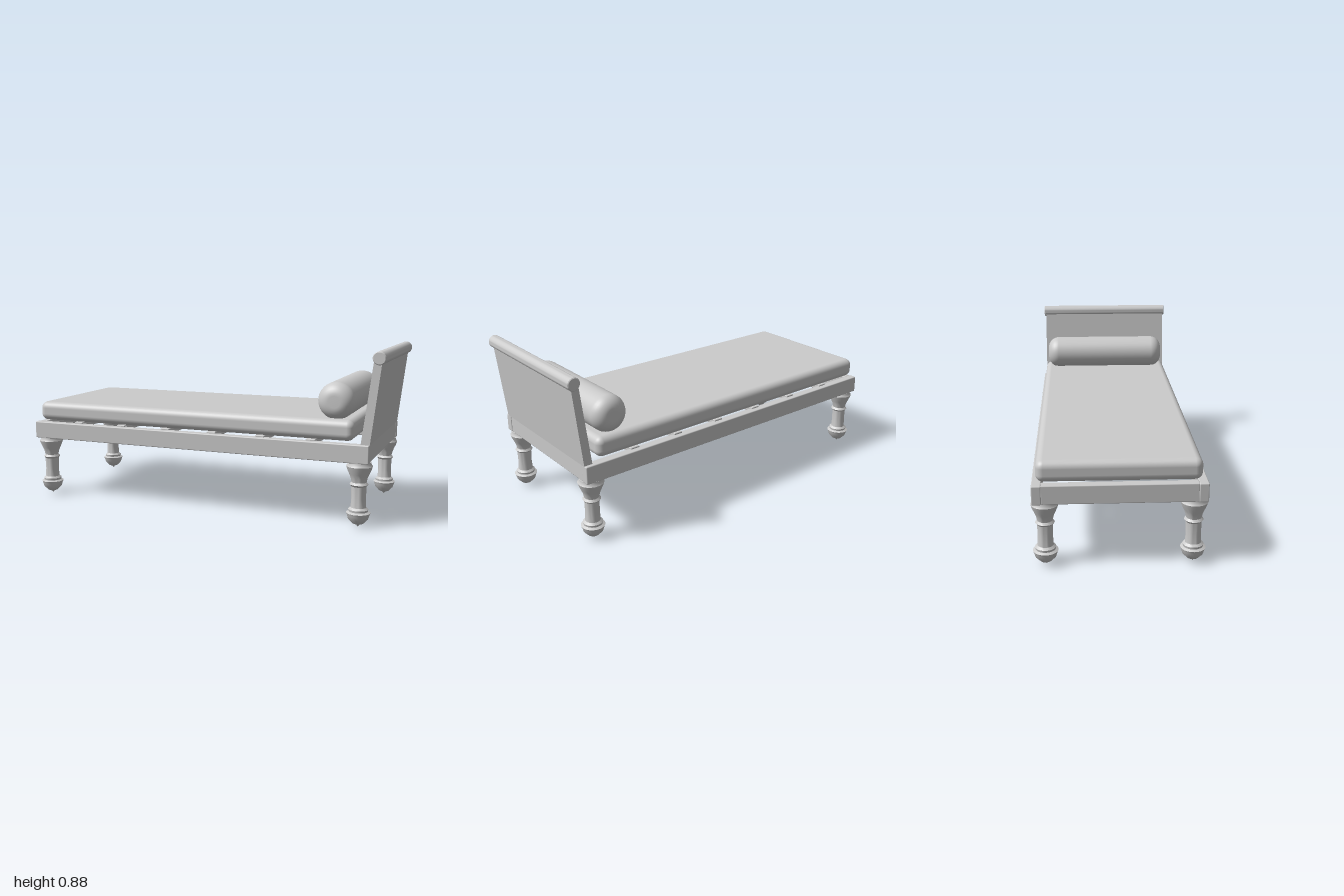
import * as THREE from 'three';
import { RoundedBoxGeometry } from 'three/addons/geometries/RoundedBoxGeometry.js';
import { toCreasedNormals } from 'three/addons/utils/BufferGeometryUtils.js';

const material = new THREE.MeshStandardMaterial({ color: 0xcccccc });

export function createModel() {
  const model = new THREE.Group();
  model.name = 'daybed';

  const add = (name, geometry, x, y, z) => {
    const mesh = new THREE.Mesh(geometry, material);
    mesh.name = name;
    mesh.position.set(x, y, z);
    model.add(mesh);
    return mesh;
  };
  // Softened bar given by its min and max corners
  const bar = (name, [x0, y0, z0], [x1, y1, z1], radius, segments = 2) =>
    add(name, new RoundedBoxGeometry(x1 - x0, y1 - y0, z1 - z0, segments, radius),
      (x0 + x1) / 2, (y0 + y1) / 2, (z0 + z1) / 2);
  const points = list => list.map(([r, y]) => new THREE.Vector2(r, y));

  // Frame: long side rails, with end rails between them
  bar('leftSideRail', [-0.99, 0.335, 0.363], [0.93, 0.428, 0.408], 0.005);
  bar('rightSideRail', [-0.99, 0.335, -0.408], [0.93, 0.428, -0.363], 0.005);
  bar('footRail', [-0.985, 0.335, -0.365], [-0.94, 0.428, 0.365], 0.005);
  bar('headRail', [0.88, 0.335, -0.365], [0.927, 0.428, 0.365], 0.005);

  // Cross slats under the mattress
  for (let i = 0; i < 6; i++) {
    const x = -0.72 + i * 0.27;
    bar('slat', [x - 0.025, 0.405, -0.38], [x + 0.025, 0.436, 0.38], 0.004);
  }

  // Turned legs
  const legProfile = points([
    [0, 0.003], [0.008, 0.014], [0.028, 0.022], [0.05, 0.045], [0.056, 0.065],
    [0.061, 0.077], [0.048, 0.084], [0.05, 0.095], [0.039, 0.105], [0.036, 0.15],
    [0.038, 0.212], [0.046, 0.222], [0.037, 0.233], [0.042, 0.255], [0.05, 0.275],
    [0.06, 0.297], [0.066, 0.315], [0.059, 0.325], [0.058, 0.337], [0, 0.337],
  ]);
  const legGeometry = toCreasedNormals(new THREE.LatheGeometry(legProfile, 28), 0.6);
  for (const x of [-0.925, 0.875])
    for (const z of [-0.35, 0.35]) add('leg', legGeometry, x, 0, z);

  // Leaning headboard panel, drawn from its side outline
  const outline = new THREE.Shape(points([[0.885, 0.425], [0.93, 0.425], [0.98, 0.85], [0.94, 0.85]]));
  add('headboard', new THREE.ExtrudeGeometry(outline, { depth: 0.78, bevelEnabled: false }), 0, 0, -0.39);

  // Round rail along the headboard top
  const topRail = points([[0, -0.4], [0.029, -0.4], [0.033, -0.396], [0.033, 0.396], [0.029, 0.4], [0, 0.4]]);
  add('headboardRail', toCreasedNormals(new THREE.LatheGeometry(topRail, 32), 0.6), 0.965, 0.852, 0)
    .rotation.x = Math.PI / 2;

  // Mattress
  bar('mattress', [-0.975, 0.435, -0.388], [0.847, 0.54, 0.382], 0.036, 5);

  // Bolster with rounded ends
  const bolster = [[0, -0.363]];
  for (let i = 0; i <= 8; i++) {
    const a = (i / 8) * Math.PI / 2;
    bolster.push([0.03 + 0.065 * Math.sin(a), -0.298 - 0.065 * Math.cos(a)]);
  }
  const mirrored = bolster.map(([r, y]) => [r, -y]).reverse();
  add('bolster', new THREE.LatheGeometry(points([...bolster, ...mirrored]), 40), 0.74, 0.625, -0.007)
    .rotation.x = Math.PI / 2;

  return model;
}
